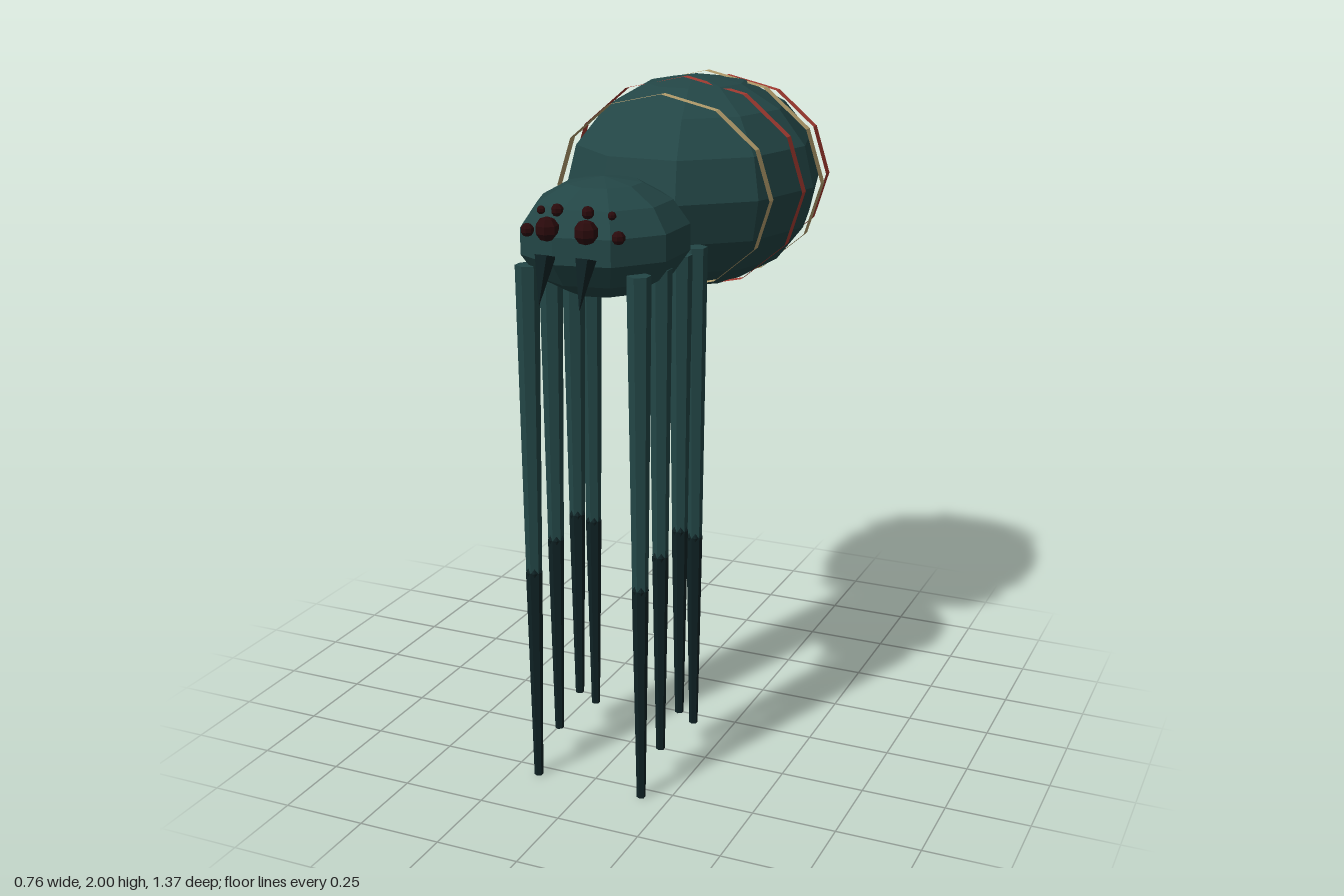
import * as THREE from 'three';

const mat = (name, color, extra = {}) => {
  const m = new THREE.MeshStandardMaterial({ color, flatShading: true, ...extra });
  m.name = name;
  return m;
};

export function createModel() {
  const model = new THREE.Group();
  model.name = 'spider';
  const teal = mat('dark teal', 0x234646);
  const dark = mat('blackish teal', 0x0f2224);
  const red = mat('brick red', 0xa63c32, { side: THREE.DoubleSide });
  const tan = mat('tan', 0xb6a06e, { side: THREE.DoubleSide });
  const eyeMat = mat('dark maroon', 0x2a0a0c);

  const add = (name, geo, material, x, y, z) => {
    const mesh = new THREE.Mesh(geo, material);
    mesh.name = name;
    mesh.position.set(x, y, z);
    model.add(mesh);
    return mesh;
  };

  // Tapered rod running between two points
  const rod = (name, from, to, r0, r1, sides, material) => {
    const a = new THREE.Vector3(...from), b = new THREE.Vector3(...to);
    const dir = b.clone().sub(a);
    const mid = a.clone().add(b).multiplyScalar(0.5);
    const mesh = add(name, new THREE.CylinderGeometry(r1, r0, dir.length(), sides), material, mid.x, mid.y, mid.z);
    mesh.quaternion.setFromUnitVectors(new THREE.Vector3(0, 1, 0), dir.normalize());
  };

  // Faceted body halves
  add('abdomen', new THREE.SphereGeometry(1, 10, 8).scale(0.38, 0.32, 0.457), teal, 0, 1.68, -0.25);
  add('headAndThorax', new THREE.SphereGeometry(1, 9, 7).scale(0.241, 0.166, 0.25), teal, 0, 1.627, 0.4);

  // Hoops around the abdomen: z, half width, half height, colour
  for (const [z, rx, ry, material] of [
    [0.0, 0.34, 0.288, tan],
    [-0.168, 0.38, 0.32, red],
    [-0.337, 0.38, 0.32, tan],
    [-0.505, 0.34, 0.288, red],
  ]) {
    const hoop = new THREE.CylinderGeometry(1, 1, 0.033, 12, 1, true).rotateX(Math.PI / 2).scale(rx, ry, 1);
    add('abdomenBand', hoop, material, 0, 1.68, z);
  }

  for (const side of [-1, 1]) {
    // Legs: z, hip height, knee height, foot height
    for (const [z, hip, knee, foot] of [
      [0.543, 1.56, 0.655, 0],
      [0.402, 1.55, 0.705, 0.088],
      [0.26, 1.56, 0.735, 0.143],
      [0.148, 1.56, 0.675, 0.055],
    ]) {
      const x = side * 0.168;
      rod('upperLeg', [x, hip, z], [x, knee, z], 0.034, 0.023, 6, teal);
      add('knee', new THREE.SphereGeometry(0.026, 6, 4), dark, x, knee, z);
      rod('lowerLeg', [x, knee, z], [x, foot, z], 0.024, 0.013, 6, dark);
    }

    // Eyes: x, y, z, radius
    for (const [x, y, z, r] of [
      [0.057, 1.685, 0.635, 0.034],
      [0.135, 1.67, 0.6, 0.019],
      [0.045, 1.73, 0.597, 0.018],
      [0.105, 1.722, 0.575, 0.012],
    ]) add('eye', new THREE.SphereGeometry(r, 7, 5), eyeMat, side * x, y, z);

    // Fangs
    rod('fang', [side * 0.06, 1.615, 0.645], [side * 0.06, 1.487, 0.685], 0.03, 0.001, 5, dark);
  }
  return model;
}
